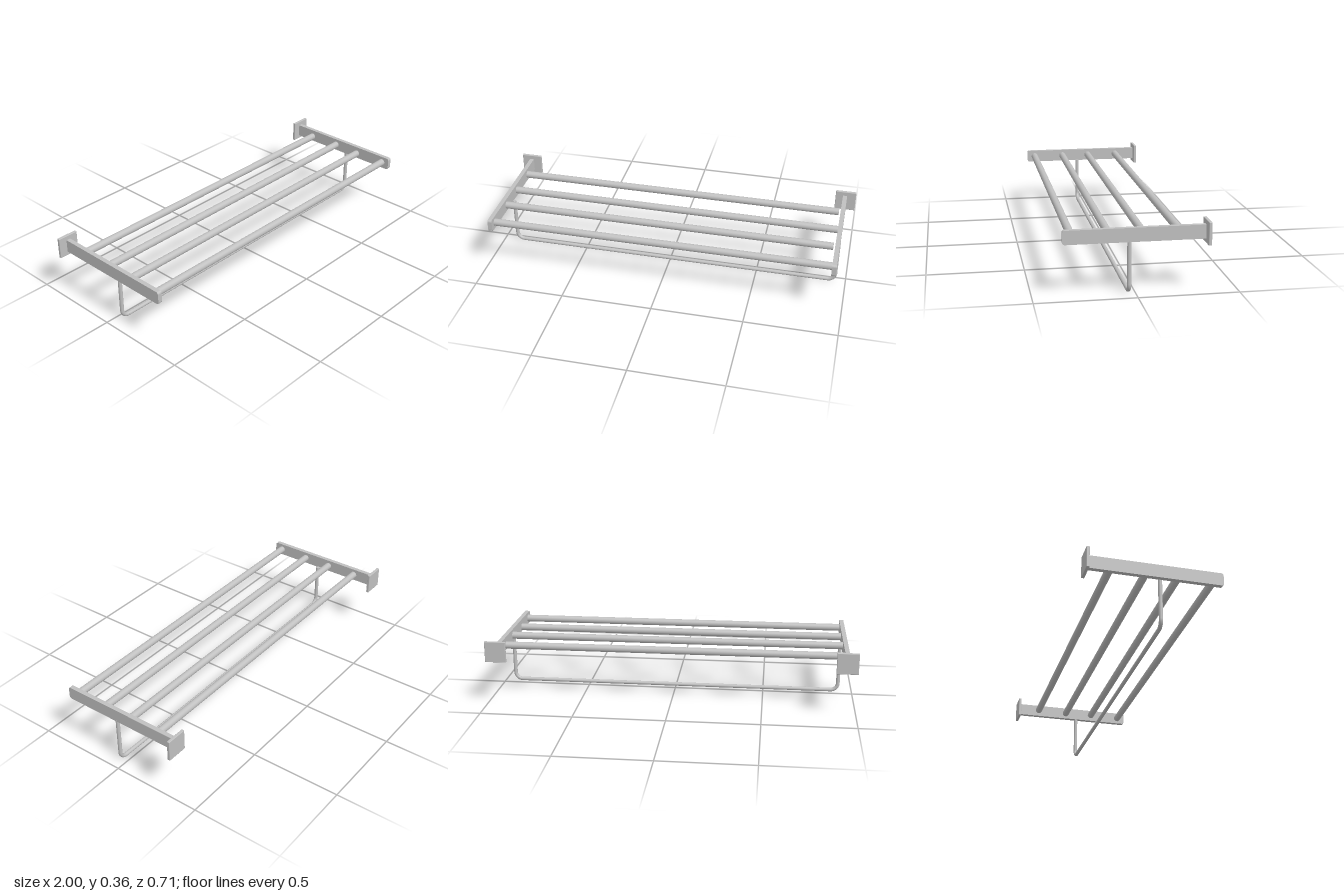
import * as THREE from 'three';
import { RoundedBoxGeometry } from 'three/addons/geometries/RoundedBoxGeometry.js';

const metal = new THREE.MeshStandardMaterial({ color: 0xc0c0c0 });
metal.name = 'brushed metal';

function addMesh(parent, name, geometry, x = 0, y = 0, z = 0) {
  const mesh = new THREE.Mesh(geometry, metal);
  mesh.name = name;
  mesh.position.set(x, y, z);
  parent.add(mesh);
  return mesh;
}

// Round bar lying along x between two ends
function addBar(parent, name, x0, x1, y, z, radius) {
  const bar = addMesh(parent, name, new THREE.CylinderGeometry(radius, radius, x1 - x0, 32), (x0 + x1) / 2, y, z);
  bar.rotation.z = Math.PI / 2;
}

// Flat side arm: profile in z and y with rounded front corners, extruded across x
function armGeometry(width) {
  const back = -0.345, front = 0.355, bottom = 0.262, top = 0.332, r = 0.013;
  const s = new THREE.Shape();
  s.moveTo(back, bottom);
  s.lineTo(front - r, bottom);
  s.absarc(front - r, bottom + r, r, -Math.PI / 2, 0);
  s.lineTo(front, top - r);
  s.absarc(front - r, top - r, r, 0, Math.PI / 2);
  s.lineTo(back, top);
  s.closePath();
  const g = new THREE.ExtrudeGeometry(s, { depth: width, bevelEnabled: false, curveSegments: 8 });
  g.translate(0, 0, -width / 2);
  g.rotateY(-Math.PI / 2);
  return g;
}

export function createModel() {
  const model = new THREE.Group();
  model.name = 'towelRack';

  // Wall plates and side arms
  const arm = armGeometry(0.024);
  const plate = new RoundedBoxGeometry(0.115, 0.115, 0.016, 3, 0.003);
  for (const [side, armX, plateX] of [['right', -0.943, -0.9425], ['left', 0.938, 0.9425]]) {
    addMesh(model, side + 'WallPlate', plate, plateX, 0.298, -0.347);
    addMesh(model, side + 'Arm', arm, armX);
  }

  // Four shelf rods; two of them stop just short of the left arm
  [[-0.219, 0.916], [-0.038, 0.928], [0.128, 0.916], [0.309, 0.928]].forEach(([z, end], i) => {
    addBar(model, 'shelfRod' + (i + 1), -0.934, end, 0.297, z, 0.02);
  });

  // Hanging rail: two legs, two bends and a straight lower bar
  const rail = new THREE.Group();
  rail.name = 'hangingRail';
  model.add(rail);
  const r = 0.0105, bend = 0.04, z = 0.033, legTop = 0.266;
  const x0 = -0.922, x1 = 0.941, y0 = r + bend;
  for (const [side, x, dir] of [['right', x0, 1], ['left', x1, -1]]) {
    addMesh(rail, side + 'Leg', new THREE.CylinderGeometry(r, r, legTop - y0, 20), x, (legTop + y0) / 2, z);
    const corner = addMesh(rail, side + 'Bend', new THREE.TorusGeometry(bend, r, 20, 12, Math.PI / 2), x + dir * bend, y0, z);
    corner.rotation.z = dir > 0 ? Math.PI : -Math.PI / 2;
  }
  addBar(rail, 'lowerBar', x0 + bend, x1 - bend, r, z, r);

  return model;
}
